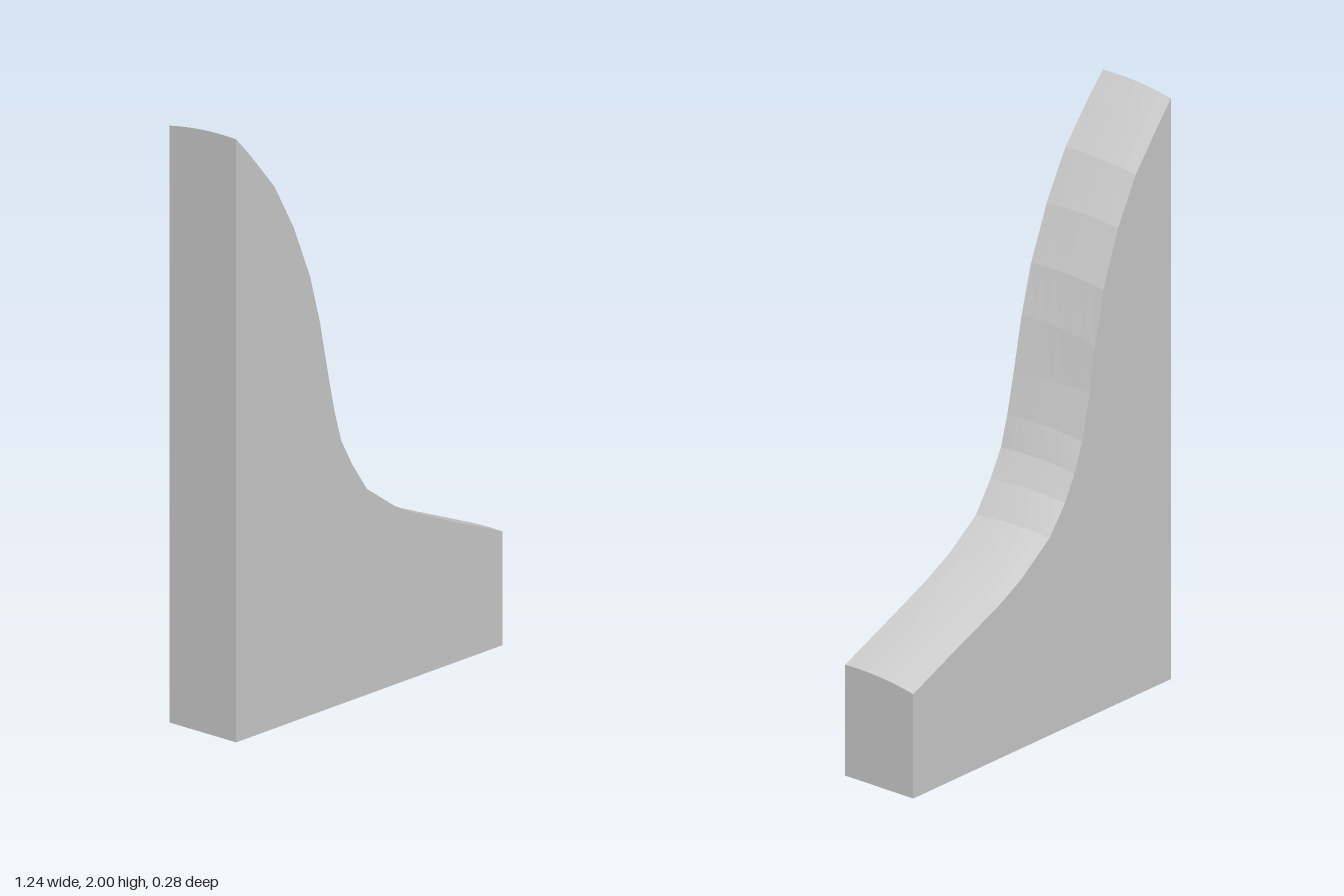
import * as THREE from 'three';

// Curved upper outline at the front and back faces, from the tall end to the low end
const FRONT = [[-0.62, 1.995], [-0.55, 1.92], [-0.44, 1.79], [-0.35, 1.63], [-0.275, 1.45],
  [-0.23, 1.29], [-0.19, 1.1], [-0.16, 0.97], [-0.13, 0.87], [-0.08, 0.78], [-0.01, 0.68],
  [0.12, 0.59], [0.22, 0.54], [0.4, 0.465], [0.62, 0.377]];
const BACK = [[-0.62, 1.975], [-0.56, 1.905], [-0.45, 1.77], [-0.365, 1.615], [-0.295, 1.43],
  [-0.255, 1.25], [-0.23, 1.1], [-0.193, 0.947], [-0.155, 0.85], [-0.11, 0.765], [-0.035, 0.67],
  [0.1, 0.575], [0.21, 0.52], [0.4, 0.445], [0.62, 0.355]];
const HALF_DEPTH = 0.14;
const SLICES = 6;

function meshFromQuads(name, quads) {
  const positions = [];
  for (const [a, b, c, d] of quads) positions.push(...a, ...b, ...c, ...a, ...c, ...d);
  const geometry = new THREE.BufferGeometry();
  geometry.setAttribute('position', new THREE.Float32BufferAttribute(positions, 3));
  geometry.computeVertexNormals();
  const mesh = new THREE.Mesh(geometry, new THREE.MeshStandardMaterial({ color: 0xcccccc, flatShading: true }));
  mesh.name = name;
  return mesh;
}

export function createModel() {
  const group = new THREE.Group();
  group.name = 'curvedBlock';

  // Outlines through the depth, with a slight crown near the front
  const rows = [];
  for (let s = 0; s <= SLICES; s++) {
    const t = s / SLICES;
    const z = HALF_DEPTH * (1 - 2 * t);
    const crown = 0.035 * t * (1 - t);
    rows.push(FRONT.map(([x, y], i) => [
      THREE.MathUtils.lerp(x, BACK[i][0], t),
      THREE.MathUtils.lerp(y, BACK[i][1], t) + crown,
      z,
    ]));
  }
  const last = FRONT.length - 1;
  const foot = ([x, , z]) => [x, 0, z];

  const top = [], front = [], back = [], tallEnd = [], lowEnd = [], base = [];
  for (let s = 0; s < SLICES; s++) {
    const a = rows[s], b = rows[s + 1];
    for (let i = 0; i < last; i++) top.push([a[i], a[i + 1], b[i + 1], b[i]]);
    tallEnd.push([foot(b[0]), foot(a[0]), a[0], b[0]]);
    lowEnd.push([foot(a[last]), foot(b[last]), b[last], a[last]]);
    base.push([foot(b[0]), foot(b[last]), foot(a[last]), foot(a[0])]);
  }
  const f = rows[0], r = rows[SLICES];
  for (let i = 0; i < last; i++) {
    front.push([foot(f[i]), foot(f[i + 1]), f[i + 1], f[i]]);
    back.push([foot(r[i + 1]), foot(r[i]), r[i], r[i + 1]]);
  }

  group.add(
    meshFromQuads('curvedTop', top),
    meshFromQuads('frontFace', front),
    meshFromQuads('backFace', back),
    meshFromQuads('tallEnd', tallEnd),
    meshFromQuads('lowEnd', lowEnd),
    meshFromQuads('base', base),
  );
  return group;
}
